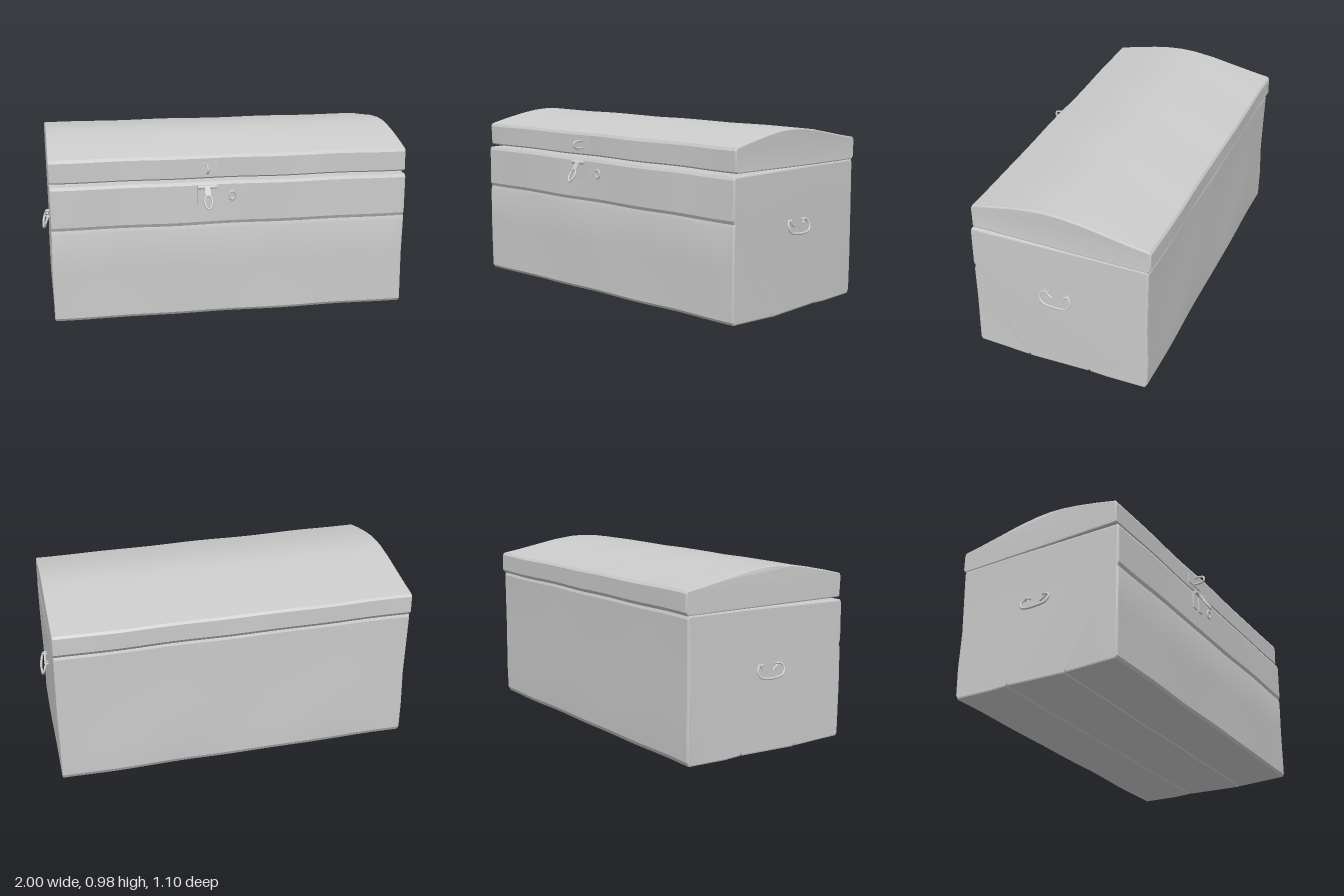
import * as THREE from 'three';
import { toCreasedNormals } from 'three/addons/utils/BufferGeometryUtils.js';

const material = new THREE.MeshStandardMaterial({ color: 0xcccccc, side: THREE.DoubleSide });

function add(parent, name, geometry, x = 0, y = 0, z = 0) {
  const mesh = new THREE.Mesh(geometry, material);
  mesh.name = name;
  mesh.position.set(x, y, z);
  parent.add(mesh);
  return mesh;
}

// Slight lean of the old box plus a soft hand-worn waviness
function wear(geometry) {
  const p = geometry.attributes.position;
  for (let i = 0; i < p.count; i++) {
    const x = p.getX(i), y = p.getY(i), z = p.getZ(i);
    p.setXYZ(i,
      x + 0.002 * Math.sin(9 * y + 5 * z),
      y - 0.01 * x + 0.0015 * Math.sin(11 * x + 4 * z),
      z - 0.0144 * x + 0.002 * Math.sin(7 * x + 8 * y));
  }
  return toCreasedNormals(geometry, 0.35);
}

// Long solid from a [z, y] cross-section, running from x0 to x1
function longSolid(profile, x0, x1, bevel) {
  const shape = new THREE.Shape(profile.map(([z, y]) => new THREE.Vector2(z, y)));
  const depth = x1 - x0 - 2 * bevel;
  const geometry = new THREE.ExtrudeGeometry(shape, {
    depth, steps: 40, bevelEnabled: true, bevelThickness: bevel,
    bevelSize: bevel, bevelOffset: -bevel, bevelSegments: 2,
  });
  geometry.rotateY(-Math.PI / 2);
  geometry.translate(x1 - bevel, 0, 0);
  return wear(geometry);
}

function tube(points, radius, closed = false) {
  const curve = new THREE.CatmullRomCurve3(points.map((p) => new THREE.Vector3(...p)), closed);
  return new THREE.TubeGeometry(curve, 48, radius, 8, closed);
}

// Bail handle hanging from two eyes on an end wall
function makeHandle(name, side, wallX, z) {
  const handle = new THREE.Group();
  handle.name = name;
  handle.position.set(wallX, 0, z);
  const path = [
    [0.016, 0.455, 0.024], [0.013, 0.468, 0.045], [0.012, 0.482, 0.06], [0.018, 0.478, 0.078],
    [0.026, 0.455, 0.086], [0.034, 0.428, 0.07], [0.038, 0.419, 0.035], [0.038, 0.418, -0.035],
    [0.036, 0.428, -0.07], [0.028, 0.455, -0.084], [0.02, 0.478, -0.076], [0.013, 0.484, -0.06],
    [0.016, 0.468, -0.045],
  ];
  add(handle, 'bail', tube(path.map(([x, y, dz]) => [x * side, y, dz]), 0.0065));
  for (const dz of [-0.055, 0.055]) {
    const eye = add(handle, 'handleEye', new THREE.TorusGeometry(0.013, 0.005, 8, 16), side * 0.008, 0.485, dz);
    eye.rotation.x = Math.PI / 2;
  }
  return handle;
}

export function createModel() {
  const chest = new THREE.Group();
  chest.name = 'chest';

  // Body with a cracked front plank and seams between the bottom boards
  add(chest, 'body', longSolid([
    [0.44, 0.02], [0.45, 0.035], [0.449, 0.3], [0.452, 0.5], [0.446, 0.522], [0.455, 0.54],
    [0.453, 0.74], [0.445, 0.756], [-0.16, 0.766], [-0.52, 0.768],
    [-0.527, 0.75], [-0.524, 0.4], [-0.532, 0.2], [-0.528, 0.045], [-0.515, 0.022],
    [-0.3, 0.016], [-0.206, 0.02], [-0.2, 0.028], [-0.194, 0.02],
    [0.144, 0.01], [0.15, 0.022], [0.156, 0.012],
  ], -0.97, 0.945, 0.009));

  // Shallow domed lid
  add(chest, 'lid', longSolid([
    [0.428, 0.77], [0.437, 0.778], [0.438, 0.88], [0.43, 0.896], [0.32, 0.922], [0.2, 0.946],
    [0.1, 0.961], [0.02, 0.966], [-0.06, 0.964], [-0.18, 0.95], [-0.32, 0.924],
    [-0.44, 0.902], [-0.53, 0.888], [-0.54, 0.875], [-0.54, 0.785], [-0.525, 0.766], [-0.16, 0.766],
  ], -0.97, 0.945, 0.007));

  chest.add(makeHandle('leftHandle', 1, 0.945, -0.043));
  chest.add(makeHandle('rightHandle', -1, -0.965, -0.02));

  // Staple on the lid
  const lock = new THREE.Group();
  lock.name = 'lock';
  lock.position.set(-0.152, 0, 0.456);
  chest.add(lock);
  add(lock, 'staplePlate', new THREE.BoxGeometry(0.13, 0.06, 0.006), 0, 0.832, -0.015);
  add(lock, 'staple', tube([
    [0, 0.85, -0.02], [0, 0.851, 0.02], [0, 0.845, 0.042], [0, 0.832, 0.048],
    [0, 0.818, 0.042], [0, 0.812, 0.02], [0, 0.813, -0.02],
  ], 0.006));

  // Hinged hasp hanging open on the body
  for (const side of [-1, 1]) {
    add(lock, 'haspLeaf', new THREE.BoxGeometry(0.038, 0.1, 0.01), side * 0.03, 0.692, 0.003);
  }
  const barrel = add(lock, 'haspBarrel', new THREE.CylinderGeometry(0.01, 0.01, 0.1, 12), 0, 0.735, 0.016);
  barrel.rotation.z = Math.PI / 2;
  const arm = new THREE.Group();
  arm.name = 'haspArm';
  arm.position.set(0, 0.735, 0.022);
  arm.rotation.x = -0.55;
  lock.add(arm);
  add(arm, 'armNeck', new THREE.BoxGeometry(0.03, 0.05, 0.01), 0, -0.022, 0);
  add(arm, 'armLoop', tube([
    [0, -0.042, 0], [0.017, -0.058, 0], [0.018, -0.095, 0],
    [0, -0.118, 0], [-0.018, -0.095, 0], [-0.017, -0.058, 0],
  ], 0.006, true));

  // Keyhole plate beside the hasp
  const keyhole = add(chest, 'keyholePlate', new THREE.TorusGeometry(0.016, 0.006, 8, 20), -0.015, 0.68, 0.456);
  keyhole.scale.y = 1.35;

  return chest;
}
